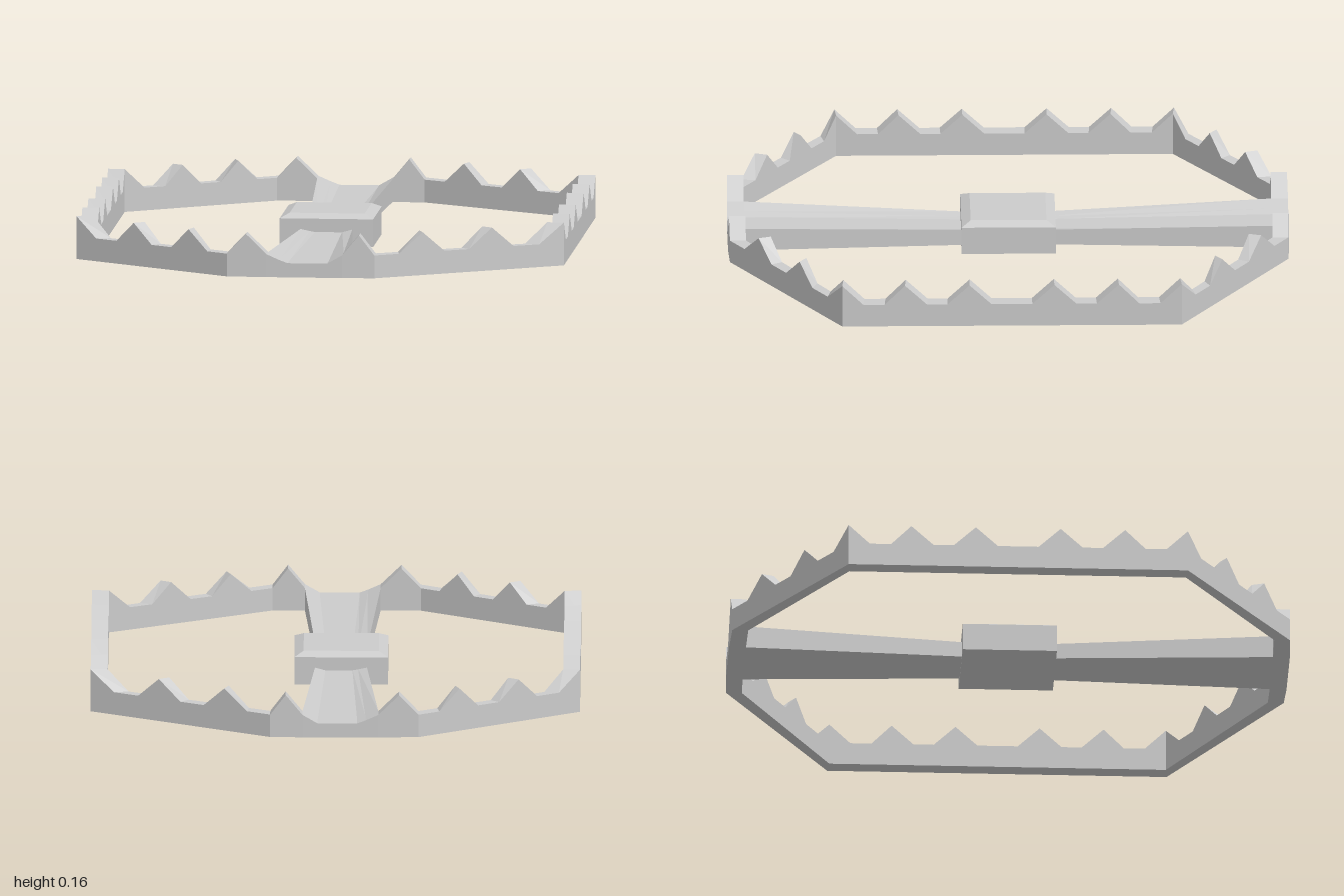
import * as THREE from 'three';

const material = new THREE.MeshStandardMaterial({ color: 0xcccccc, flatShading: true, side: THREE.DoubleSide });

// Skin a row of cross-sections; each runs counter-clockwise seen from the start
function loft(name, sections) {
  const pos = [];
  const tri = (a, b, c) => pos.push(...a, ...b, ...c);
  const n = sections[0].length;
  for (let k = 0; k < sections.length - 1; k++) {
    const s = sections[k], e = sections[k + 1];
    for (let i = 0; i < n; i++) {
      const j = (i + 1) % n;
      tri(s[i], e[i], e[j]);
      tri(s[i], e[j], s[j]);
    }
  }
  const first = sections[0], last = sections[sections.length - 1];
  for (let i = 1; i < n - 1; i++) {
    tri(first[0], first[i], first[i + 1]);
    tri(last[0], last[i + 1], last[i]);
  }
  const geo = new THREE.BufferGeometry();
  geo.setAttribute('position', new THREE.Float32BufferAttribute(pos, 3));
  geo.computeVertexNormals();
  const mesh = new THREE.Mesh(geo, material);
  mesh.name = name;
  return mesh;
}

const LOW = 0.088, PEAK = 0.16, BASE = 0.006;

// Tooth stations along each straight run: [fraction, height]
const endTeeth = [[0, LOW], [0.52, PEAK], [1, LOW]];
const diagonalTeeth = [[0.13, LOW], [0.255, PEAK], [0.37, LOW], [0.5, LOW],
  [0.62, PEAK], [0.735, LOW], [0.87, LOW], [1, PEAK]];
const halfSide = [[0.0625, LOW], [0.125, LOW], [0.185, PEAK], [0.25, LOW], [0.31, LOW], [0.375, PEAK], [0.44, LOW]];
const sideTeeth = [...halfSide, ...halfSide.map(([t, h]) => [1 - t, h]).reverse(), [1, PEAK]];
const reversed = (run) => run.map(([t, h]) => [1 - t, h]).reverse();

// One toothed jaw, from the front end of the bar round to the back end
function jaw(name, sign, barX, cornerX) {
  // corners: outer x, outer z, inner x, inner z
  const front = [[barX, 1, barX, 0.94], [cornerX, 0.995, cornerX, 0.938],
    [sign * 0.872, 0.605, sign * 0.812, 0.6]];
  const back = front.map(([a, b, c, d]) => [a, -b, c, -d]).reverse();
  const corners = [...front, ...back];
  const runs = [endTeeth, diagonalTeeth, sideTeeth,
    [...reversed(diagonalTeeth).slice(1), [1, LOW]], reversed(endTeeth).slice(1)];
  const sections = [];
  runs.forEach((run, r) => run.forEach(([t, h]) => {
    const [ox, oz, ix, iz] = corners[r].map((v, i) => v + (corners[r + 1][i] - v) * t);
    const s = [[ox, BASE, oz], [ox, h, oz], [ix, h, iz], [ix, BASE, iz]];
    sections.push(sign > 0 ? s : s.reverse());
  }));
  return loft(name, sections);
}

// Shallow trough section of the bar at depth z
function barSection(z, left, right, edge, floor) {
  const mid = (left + right) / 2, w = right - left;
  return [[mid, BASE, z], [right, BASE, z], [right, edge, z], [right - w * 0.2, floor, z],
    [left + w * 0.28, floor, z], [left + w * 0.17, floor + (edge - floor) * 0.35, z],
    [left, edge, z], [left, BASE, z]];
}

export function createModel() {
  const model = new THREE.Group();
  model.name = 'jawTrap';

  model.add(jaw('leftJaw', 1, 0.115, 0.23));
  model.add(jaw('rightJaw', -1, -0.155, -0.298));

  // Cross bar, narrowing to the middle
  const end = [-0.155, 0.115, LOW, 0.057], middle = [-0.11, 0.073, 0.062, 0.052];
  model.add(loft('crossBar', [
    barSection(1, ...end), barSection(0.94, ...end), barSection(0.15, ...middle),
    barSection(-0.15, ...middle), barSection(-0.94, ...end), barSection(-1, ...end),
  ]));

  // Trigger plate with a bevelled top
  const plate = (y, inset) => {
    const x0 = -0.186 + inset, x1 = 0.148 - inset, z = 0.168 - inset;
    return [[x0, y, -z], [x1, y, -z], [x1, y, z], [x0, y, z]];
  };
  model.add(loft('triggerPlate', [plate(0, 0), plate(0.1, 0), plate(0.116, 0.033)]));

  return model;
}
